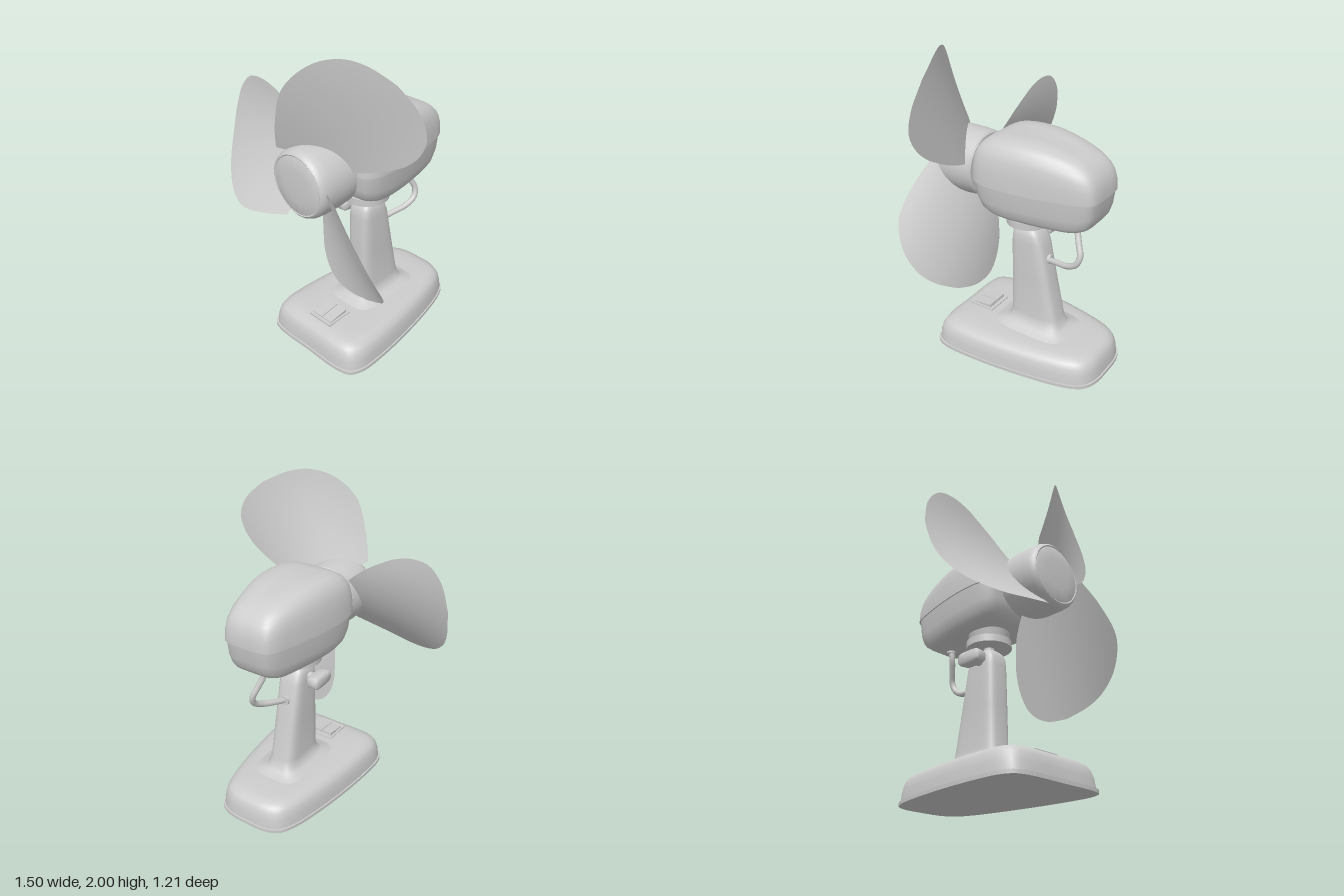
import * as THREE from 'three';
import { toCreasedNormals } from 'three/addons/utils/BufferGeometryUtils.js';

const CX = 0.078; // centre plane of the stand and motor
const AXIS_Y = 1.24; // height of the fan axle
const grey = new THREE.MeshStandardMaterial({ color: 0xcccccc });
const thin = new THREE.MeshStandardMaterial({ color: 0xcccccc, side: THREE.DoubleSide });

function add(parent, name, geometry, x = 0, y = 0, z = 0, material = grey) {
  const mesh = new THREE.Mesh(geometry, material);
  mesh.name = name;
  mesh.position.set(x, y, z);
  parent.add(mesh);
  return mesh;
}

// Closed solid through horizontal rings, listed from bottom to top
function loft(rings, crease = 0.6) {
  const n = rings[0].length;
  const pos = [];
  const tri = (...pts) => pts.forEach((p) => pos.push(p.x, p.y, p.z));
  const middle = (ring) => ring.reduce((s, p) => s.add(p), new THREE.Vector3()).divideScalar(n);
  const bottom = middle(rings[0]);
  const top = middle(rings[rings.length - 1]);
  for (let i = 0; i < n; i++) {
    const j = (i + 1) % n;
    for (let k = 0; k < rings.length - 1; k++) {
      const a = rings[k], b = rings[k + 1];
      tri(a[i], a[j], b[i]);
      tri(a[j], b[j], b[i]);
    }
    tri(bottom, rings[0][j], rings[0][i]);
    tri(top, rings[rings.length - 1][i], rings[rings.length - 1][j]);
  }
  const g = new THREE.BufferGeometry();
  g.setAttribute('position', new THREE.Float32BufferAttribute(pos, 3));
  return toCreasedNormals(g, crease);
}

// Symmetric plan outline from [half width, z] points, front to back
function planOutline(half, count = 72) {
  const right = half.map(([x, z]) => new THREE.Vector3(x, 0, z));
  const left = half.slice(1, -1).reverse().map(([x, z]) => new THREE.Vector3(-x, 0, z));
  return new THREE.CatmullRomCurve3([...right, ...left], true, 'centripetal').getPoints(count).slice(0, count);
}

// Ring made by insetting an outline by d, with its height given by a rule of z
function insetRing(outline, d, height) {
  const zs = outline.map((p) => p.z);
  const w = Math.max(...outline.map((p) => p.x));
  const zf = Math.max(...zs), zb = Math.min(...zs), mid = (zf + zb) / 2;
  return outline.map((p) => {
    const z = mid + (p.z - mid) * (1 - (2 * d) / (zf - zb));
    return new THREE.Vector3(p.x * (1 - d / w), height(z), z);
  });
}

// Rounded rectangular section
function boxRing(y, hx, zf, zb, n = 40) {
  const power = (v) => Math.sign(v) * Math.abs(v) ** 0.5;
  return Array.from({ length: n }, (_, i) => {
    const t = (i / n) * Math.PI * 2;
    return new THREE.Vector3(hx * power(Math.sin(t)), y, (zf + zb) / 2 + ((zf - zb) / 2) * power(Math.cos(t)));
  });
}

function buildStand(group) {
  // Tapered foot with a thin rim
  const foot = planOutline([[0, 0.55], [0.26, 0.548], [0.345, 0.52], [0.383, 0.44], [0.388, 0.3], [0.375, 0.1],
    [0.35, -0.1], [0.315, -0.3], [0.275, -0.45], [0.225, -0.54], [0.14, -0.582], [0, -0.59]]);
  add(group, 'baseRim', loft([0, 0.022].map((y) => insetRing(foot, 0, () => y))), CX);
  const layers = [[0.02, 0.01], [0.08, 0.016], [0.125, 0.027], [0.155, 0.045], [0.172, 0.075], [0.18, 0.11], [0.185, 0.17]];
  add(group, 'base', loft(layers.map(([y, d]) => insetRing(foot, d, () => y))), CX);

  // Leaning column with a flared root and rounded top
  const sections = [[0.17, 0.2, 0.24, -0.36], [0.19, 0.17, 0.2, -0.31], [0.205, 0.125, 0.15, -0.265], [0.23, 0.1, 0.12, -0.245],
    [0.28, 0.091, 0.112, -0.23], [0.55, 0.088, 0.108, -0.172], [0.8, 0.084, 0.104, -0.122], [0.855, 0.08, 0.098, -0.1],
    [0.885, 0.07, 0.083, -0.08], [0.905, 0.052, 0.06, -0.055], [0.913, 0.025, 0.03, -0.025]];
  add(group, 'column', loft(sections.map((s) => boxRing(...s)), 0.9), CX);

  // Switch plate with two rockers
  const panel = new THREE.Group();
  panel.name = 'switchPanel';
  panel.position.set(CX, 0.186, 0.35);
  group.add(panel);
  add(panel, 'switchPlate', new THREE.BoxGeometry(0.185, 0.012, 0.185));
  for (const side of [-1, 1]) {
    const rocker = add(panel, 'rocker', new THREE.BoxGeometry(0.075, 0.02, 0.14), side * 0.04, 0.01, 0);
    rocker.rotation.x = 0.12;
  }

  // Tilt knob on the side of the column
  const shaft = add(group, 'knobShaft', new THREE.CylinderGeometry(0.03, 0.03, 0.06, 20), -0.02, 0.825, 0.01);
  shaft.rotation.z = Math.PI / 2;
  const knob = loft([[-0.04, 0.032], [-0.03, 0.04], [0.02, 0.044], [0.035, 0.04], [0.042, 0.03]]
    .map(([y, r]) => boxRing(y, r, r + 0.045, -r - 0.045, 28)), 0.9);
  add(group, 'tiltKnob', knob, -0.072, 0.826, 0.01).rotation.z = Math.PI / 2;
}

function buildMotor(group) {
  // Swivel neck
  add(group, 'neckPin', new THREE.CylinderGeometry(0.035, 0.035, 0.08, 24), CX, 0.92, 0.01);
  add(group, 'swivelDisc', new THREE.CylinderGeometry(0.142, 0.142, 0.047, 40), CX, 0.953, 0.01);
  add(group, 'neckCollar', new THREE.CylinderGeometry(0.138, 0.122, 0.07, 40), CX, 1.01, 0.01);

  // Housing shells meeting at a seam
  const plan = planOutline([[0, 0.288], [0.15, 0.285], [0.225, 0.262], [0.264, 0.2], [0.276, 0.1], [0.268, -0.05],
    [0.245, -0.2], [0.21, -0.36], [0.18, -0.46], [0.145, -0.51], [0.09, -0.525], [0, -0.527]]);
  const seam = 1.245;
  const roof = (z) => 1.523 - (z > -0.05 ? 0.3 * (z + 0.05) ** 2 : 0.5 * (z + 0.05) ** 2);
  const floor = (z) => 1.018 + 1.5 * Math.max(0, -0.33 - z) ** 2 + 0.7 * Math.max(0, z - 0.03) ** 2;
  const upper = [[-0.03, 0], [0, 0], [0.35, 0.004], [0.6, 0.015], [0.76, 0.032], [0.88, 0.058], [0.95, 0.09], [0.985, 0.14], [1, 0.2]];
  add(group, 'upperHousing', loft(upper.map(([h, d]) => insetRing(plan, d, (z) => seam + (roof(z) - seam) * h)), 0.7), CX);
  const lower = [[1, 0.13], [0.985, 0.085], [0.93, 0.055], [0.82, 0.036], [0.55, 0.019], [0, 0.008]];
  add(group, 'lowerHousing', loft(lower.map(([h, d]) => insetRing(plan, d, (z) => seam + (floor(z) - seam) * h)), 0.7), CX);

  // Cord bowing sideways from the housing down into the column
  const path = [[0, 1.06, -0.345], [0.01, 0.97, -0.345], [0.035, 0.9, -0.37], [0.06, 0.83, -0.395], [0.07, 0.775, -0.375],
    [0.06, 0.735, -0.31], [0.03, 0.71, -0.22], [0, 0.69, -0.12]];
  const curve = new THREE.CatmullRomCurve3(path.map(([x, y, z]) => new THREE.Vector3(CX + x, y, z)));
  add(group, 'cord', new THREE.TubeGeometry(curve, 48, 0.019, 14));
  add(group, 'cordGrommet', new THREE.CylinderGeometry(0.03, 0.03, 0.03, 20), CX, 0.696, -0.142).rotation.x = Math.PI / 2;
  add(group, 'cordSocket', new THREE.CylinderGeometry(0.028, 0.028, 0.03, 20), CX, 1.025, -0.345);
}

// Cupped, twisted blade spanned between its two edges, pointing along +x
function bladeGeometry() {
  const edge = (pts) => new THREE.SplineCurve(pts.map((p) => new THREE.Vector2(...p)));
  const high = edge([[0.06, 0.235], [0.231, 0.308], [0.44, 0.375], [0.619, 0.36], [0.737, 0.284], [0.8, 0.168], [0.833, 0]]);
  const low = edge([[0.1, -0.07], [0.164, -0.121], [0.306, -0.214], [0.445, -0.278], [0.53, -0.306], [0.64, -0.315],
    [0.746, -0.278], [0.815, -0.164], [0.833, 0]]);
  const g = new THREE.PlaneGeometry(1, 1, 16, 32);
  const p = g.attributes.position;
  for (let i = 0; i < p.count; i++) {
    const s = p.getY(i) + 0.5, across = p.getX(i) + 0.5;
    const q = low.getPointAt(s).lerp(high.getPointAt(s), across);
    p.setXYZ(i, q.x, q.y, 0.308 + (1 - 0.75 * q.x) * (q.y + 0.3) ** 2);
  }
  g.computeVertexNormals();
  return g;
}

function buildFan(group) {
  const fan = new THREE.Group();
  fan.name = 'fan';
  fan.position.set(CX, AXIS_Y, 0);
  group.add(fan);

  // Hub turned about the axle
  const profile = [[0, 0.3], [0.195, 0.3], [0.205, 0.31], [0.212, 0.4], [0.212, 0.5], [0.208, 0.545], [0.198, 0.57],
    [0.185, 0.58], [0.178, 0.576], [0.17, 0.58], [0.1, 0.586], [0, 0.588]];
  const hub = new THREE.LatheGeometry(profile.map(([r, z]) => new THREE.Vector2(r, z)), 48);
  add(fan, 'hub', toCreasedNormals(hub.toNonIndexed(), 0.6)).rotation.x = Math.PI / 2;
  add(fan, 'axle', new THREE.CylinderGeometry(0.05, 0.05, 0.08, 24), 0, 0, 0.29).rotation.x = Math.PI / 2;

  // Three equal blades
  const blade = bladeGeometry();
  for (let i = 0; i < 3; i++) {
    add(fan, 'blade', blade, 0, 0, 0, thin).rotation.z = THREE.MathUtils.degToRad(53 + 120 * i);
  }
}

export function createModel() {
  const model = new THREE.Group();
  model.name = 'deskFan';
  buildStand(model);
  buildMotor(model);
  buildFan(model);
  return model;
}
